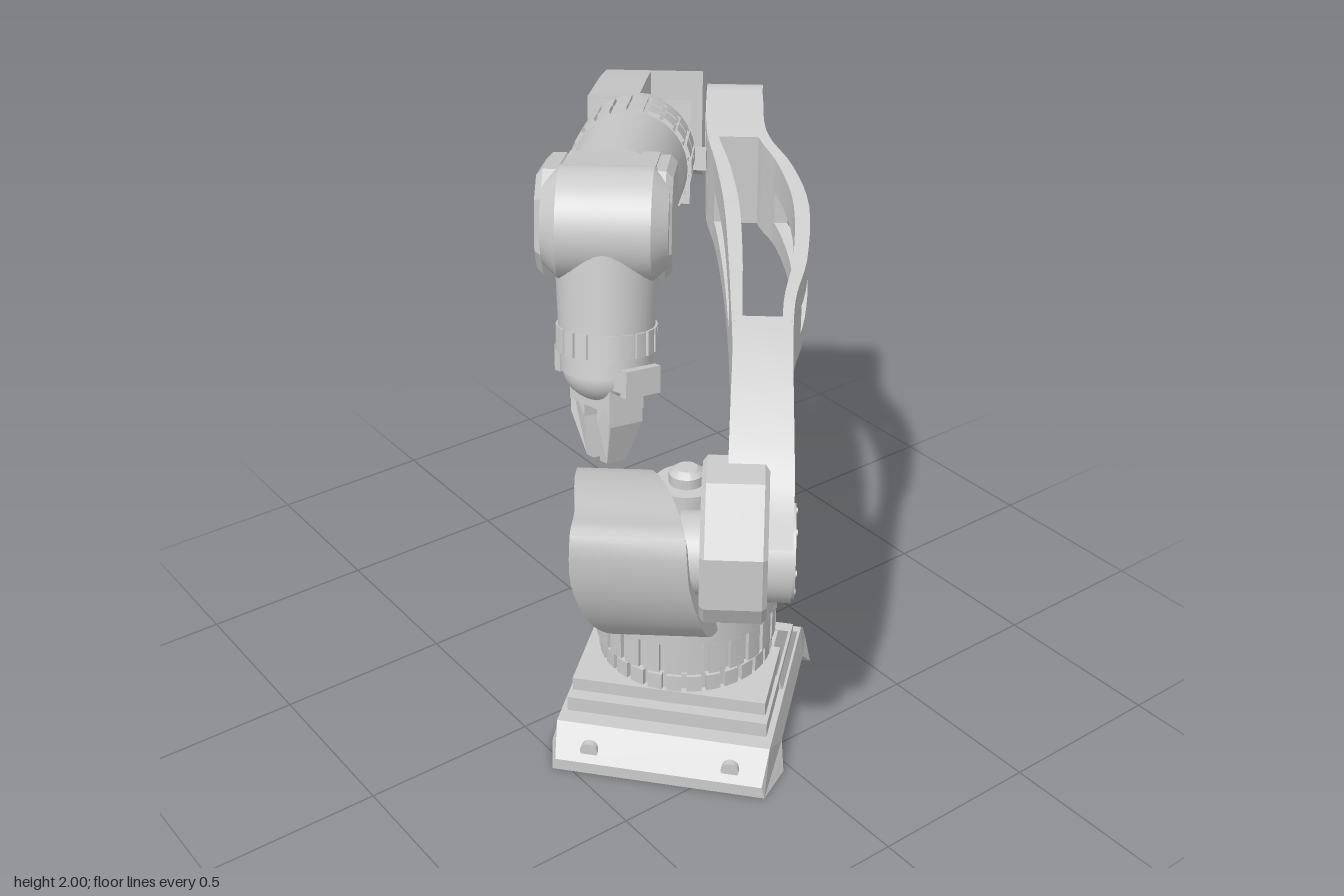
import * as THREE from 'three';
import { toCreasedNormals } from 'three/addons/utils/BufferGeometryUtils.js';

const mat = new THREE.MeshStandardMaterial({ color: 0xcccccc, side: THREE.DoubleSide });
const V = (x, y, z) => new THREE.Vector3(x, y, z);

function add(parent, name, geo, x = 0, y = 0, z = 0) {
  const m = new THREE.Mesh(geo, mat);
  m.name = name;
  m.position.set(x, y, z);
  parent.add(m);
  return m;
}
function sub(parent, name, x = 0, y = 0, z = 0) {
  const g = new THREE.Group();
  g.name = name;
  g.position.set(x, y, z);
  parent.add(g);
  return g;
}
const box = (w, h, d) => new THREE.BoxGeometry(w, h, d);
const cyl = (rTop, rBottom, h) => new THREE.CylinderGeometry(rTop, rBottom, h, 40);
const cylX = (r0, r1, h) => cyl(r1, r0, h).rotateZ(-Math.PI / 2);
const cylZ = (r, h) => cyl(r, r, h).rotateX(Math.PI / 2);

// Side profile extruded from z0 to z1
function slab(points, z0, z1, bevel = 0) {
  const shape = new THREE.Shape(points.map(p => new THREE.Vector2(p[0], p[1])));
  const geo = new THREE.ExtrudeGeometry(shape, {
    depth: z1 - z0 - 2 * bevel, bevelEnabled: bevel > 0,
    bevelSize: bevel, bevelOffset: -bevel, bevelThickness: bevel, bevelSegments: 1,
  });
  return geo.translate(0, 0, z0 + bevel);
}

// Scales the width of a slab by a rule of x and y
function taper(geo, rule) {
  const p = geo.attributes.position;
  for (let i = 0; i < p.count; i++) p.setZ(i, p.getZ(i) * rule(p.getX(i), p.getY(i)));
  geo.computeVertexNormals();
  return geo;
}

// Ring along y with slots cut into its rim
function slottedRing(r, depth, n, h, slot = 0.25) {
  const pts = [];
  for (let i = 0; i < n; i++) {
    for (const [f, rad] of [[0, r - depth], [slot, r - depth], [slot, r], [(1 + slot) / 2, r], [1, r]]) {
      const t = (i + f) / n * Math.PI * 2;
      pts.push(new THREE.Vector2(Math.cos(t) * rad, Math.sin(t) * rad));
    }
  }
  const geo = new THREE.ExtrudeGeometry(new THREE.Shape(pts), { depth: h, bevelEnabled: false });
  return toCreasedNormals(geo.rotateX(-Math.PI / 2), 0.5);
}

// Four-sided loft. Station: [topX, topY, bottomX, bottomY, nearZ, farZ].
// u picks the part along the run, t the part from bottom to top, s from near to far.
function loft(stations, u = [0, stations.length - 1], t = [0, 1], s = [0, 1]) {
  const top = new THREE.CatmullRomCurve3(stations.map(q => V(q[0], q[1], q[4])));
  const bot = new THREE.CatmullRomCurve3(stations.map(q => V(q[2], q[3], q[5])));
  const n = Math.ceil((u[1] - u[0]) * 4), rings = [], pos = [];
  for (let i = 0; i <= n; i++) {
    const k = (u[0] + (u[1] - u[0]) * i / n) / (stations.length - 1);
    const a = top.getPoint(k), b = bot.getPoint(k);
    rings.push([[t[0], s[0]], [t[1], s[0]], [t[1], s[1]], [t[0], s[1]]].map(([p, q]) =>
      V(b.x + (a.x - b.x) * p, b.y + (a.y - b.y) * p, a.z + (b.z - a.z) * q)));
  }
  const quad = (a, b, c, d) => [a, b, c, a, c, d].forEach(p => pos.push(p.x, p.y, p.z));
  for (let i = 0; i < n; i++) {
    const c = rings[i], e = rings[i + 1];
    for (let k = 0; k < 4; k++) quad(c[k], e[k], e[(k + 1) % 4], c[(k + 1) % 4]);
  }
  quad(...rings[0]);
  quad(...rings[n].slice().reverse());
  const geo = new THREE.BufferGeometry();
  geo.setAttribute('position', new THREE.Float32BufferAttribute(pos, 3));
  return toCreasedNormals(geo, 0.6);
}

function buildBase(parent) {
  const base = sub(parent, 'base');
  base.rotation.y = -0.155;
  // Foot with sloping ends, clipped corners and an arch underneath
  add(base, 'foot', taper(slab([[-0.385, 0], [-0.26, 0], [-0.2, 0.06], [0.2, 0.06], [0.26, 0], [0.385, 0],
    [0.385, 0.035], [0.32, 0.12], [-0.26, 0.12], [-0.38, 0.035]], -0.335, 0.335),
  (x, y) => (Math.abs(x) > 0.35 ? 0.9 : 1) * (1 - 0.8 * y)));
  add(base, 'step', box(0.48, 0.05, 0.57), 0.03, 0.14, 0);
  add(base, 'frontPlate', slab([[-0.02, 0.175], [0.22, 0.16], [0.245, 0.175], [0.245, 0.215], [-0.02, 0.215]], -0.275, 0.275));
  add(base, 'rearHousing', taper(slab([[-0.25, 0.11], [0.05, 0.11], [0.05, 0.215], [-0.1, 0.215]], -0.3, 0.3),
    (x, y) => 1 - 1.4 * (y - 0.11)));
  for (const z of [-0.2, 0.2]) add(base, 'frontBolt', cylX(0.025, 0.025, 0.02), 0.36, 0.065, z);
  add(base, 'pedestal', cyl(0.225, 0.25, 0.13), 0, 0.165, 0);
}

function buildTurret(parent) {
  const turret = sub(parent, 'turret');
  add(turret, 'lowerRing', slottedRing(0.25, 0.015, 28, 0.05), 0, 0.22, 0);
  add(turret, 'bearing', cyl(0.23, 0.23, 0.03), 0, 0.275, 0);
  add(turret, 'slottedDrum', slottedRing(0.26, 0.012, 26, 0.095), 0, 0.285, 0);
  add(turret, 'drumTop', cyl(0.26, 0.26, 0.07), 0, 0.415, 0);
  add(turret, 'drumCap', cyl(0.158, 0.16, 0.13), 0, 0.51, 0);
  const profile = [[0.12, 0.57], [0.12, 0.592], [0.09, 0.61], [0.085, 0.66], [0.075, 0.665], [0.075, 0.735],
    [0.09, 0.738], [0.09, 0.755], [0.05, 0.755], [0.05, 0.785], [0.03, 0.8], [0, 0.8]];
  add(turret, 'tower', toCreasedNormals(
    new THREE.LatheGeometry(profile.map(q => new THREE.Vector2(...q)), 32), 0.6));
  // Hoop bracket rising from the drum and carrying the shoulder
  add(turret, 'shoulderBracket', loft([
    [-0.13, 0.41, -0.08, 0.42, 0.3, 0.1],
    [-0.165, 0.51, -0.11, 0.51, 0.31, 0.12],
    [-0.11, 0.67, -0.04, 0.65, 0.31, 0.12],
    [0.02, 0.8, 0.06, 0.765, 0.3, 0.1],
    [0.2, 0.87, 0.22, 0.82, 0.29, 0.05],
    [0.4, 0.895, 0.36, 0.835, 0.27, 0],
    [0.515, 0.9, 0.41, 0.8, 0.27, -0.02],
    [0.525, 0.76, 0.4, 0.74, 0.27, -0.03],
    [0.465, 0.6, 0.35, 0.62, 0.23, -0.06],
    [0.36, 0.49, 0.27, 0.53, 0.18, -0.08],
    [0.23, 0.42, 0.16, 0.45, 0.14, -0.1]]));
  add(turret, 'shoulderShaft', cylZ(0.11, 0.26), 0.36, 0.76, -0.13);
}

function buildLowerArm(parent) {
  const arm = sub(parent, 'lowerArm');
  const st = [
    [-1.0, 1.53, -1.06, 1.278, -0.01, -0.18],
    [-0.78, 1.48, -0.78, 1.205, -0.02, -0.2],
    [-0.65, 1.44, -0.65, 1.175, -0.05, -0.27],
    [-0.47, 1.39, -0.45, 1.125, -0.08, -0.32],
    [-0.25, 1.32, -0.27, 1.07, -0.1, -0.315],
    [-0.1, 1.275, -0.13, 1.025, -0.11, -0.285],
    [0.06, 1.21, 0.02, 0.95, -0.12, -0.28],
    [0.24, 1.1, 0.12, 0.86, -0.12, -0.285],
    [0.38, 0.98, 0.19, 0.8, -0.12, -0.29],
    [0.46, 0.84, 0.23, 0.71, -0.12, -0.29]];
  add(arm, 'elbowEnd', loft(st, [0, 1.1]));
  add(arm, 'shoulderEnd', loft(st, [5.4, 9]));
  // Two curved side plates, each with a long slot
  for (const s of [[0, 0.18], [0.82, 1]]) {
    add(arm, 'sidePlateRear', loft(st, [1, 1.9], [0, 1], s));
    add(arm, 'sidePlateUpper', loft(st, [1.8, 4.5], [0.62, 1], s));
    add(arm, 'sidePlateLower', loft(st, [1.8, 4.5], [0, 0.26], s));
    add(arm, 'sidePlateFront', loft(st, [4.4, 5.5], [0, 1], s));
  }
  add(arm, 'elbowKnuckle', cylZ(0.13, 0.17), -1.035, 1.405, -0.095);
  add(arm, 'shoulderKnuckle', cylZ(0.135, 0.17), 0.34, 0.76, -0.205);
  add(arm, 'shoulderCover', cylZ(0.125, 0.01), 0.34, 0.76, -0.293);
  for (let i = 0; i < 6; i++) {
    const t = i * Math.PI / 3;
    add(arm, 'coverBolt', cylZ(0.008, 0.006), 0.34 + 0.105 * Math.cos(t), 0.76 + 0.105 * Math.sin(t), -0.299);
  }
  add(arm, 'motorHousing', slab([[0.3, 0.62], [0.46, 0.62], [0.515, 0.65], [0.545, 0.71], [0.545, 0.86],
    [0.44, 1.02], [0.3, 1.02]], -0.227, -0.055, 0.012));
}

function buildUpperArm(parent) {
  const arm = sub(parent, 'upperArm');
  const st = [
    [-1.13, 1.5, -1.06, 1.275, 0.285, -0.003],
    [-0.95, 1.61, -0.9, 1.3, 0.285, -0.003],
    [-0.82, 1.65, -0.8, 1.36, 0.285, -0.003],
    [-0.65, 1.69, -0.63, 1.44, 0.285, -0.003],
    [-0.38, 1.745, -0.38, 1.51, 0.285, -0.003],
    [-0.25, 1.78, -0.22, 1.535, 0.28, 0.0]];
  add(arm, 'elbowHousing', loft(st, [0, 1.75]));
  add(arm, 'armBar', loft(st, [1.6, 5], [0, 1], [0, 0.47]));
  add(arm, 'armFlare', loft([
    [-0.33, 1.758, -0.32, 1.522, 0.283, 0.15],
    [-0.2, 1.795, -0.18, 1.542, 0.275, 0.05],
    [-0.1, 1.828, -0.06, 1.56, 0.265, 0.0]]));
  add(arm, 'elbowKnuckle', cylZ(0.135, 0.288), -1.035, 1.408, 0.141);

  // Tilted forearm, running along its own x axis
  const fore = sub(arm, 'forearm', -0.13, 1.69, 0.135);
  fore.rotation.z = 0.2;
  add(fore, 'rearCollar', cylX(0.138, 0.146, 0.12), 0.06, 0, 0);
  for (const x of [0.12, 0.23]) add(fore, 'slottedRing', slottedRing(0.15, 0.008, 22, 0.095).rotateZ(-Math.PI / 2), x, 0, 0);
  add(fore, 'ringCore', cylX(0.138, 0.138, 0.26), 0.21, 0, 0);
  add(fore, 'tube', cylX(0.14, 0.128, 0.45), 0.54, 0, 0);
  add(fore, 'tubePad', box(0.15, 0.08, 0.03), 0.54, 0, 0.13);
  add(fore, 'cableClip', box(0.06, 0.05, 0.05), 0.0, -0.03, -0.15);

  const head = sub(fore, 'wristHead', 0.945, 0, 0.004);
  add(head, 'headBlock', box(0.2, 0.23, 0.2), -0.12, 0, 0);
  add(head, 'headKnuckle', cylZ(0.122, 0.2));
  for (const s of [-1, 1]) {
    add(head, 'knuckleShoulder', new THREE.CylinderGeometry(0.09, 0.122, 0.035, 40).rotateX(s * Math.PI / 2), 0, 0, s * 0.117);
    const cheek = [[-0.22, -0.09], [-0.19, -0.115], [0.01, -0.115], [0.06, -0.06], [0.06, 0.06],
      [0.01, 0.115], [-0.19, 0.115], [-0.22, 0.09]];
    add(head, 'cheekPlate', s > 0 ? slab(cheek, 0.09, 0.15, 0.015) : slab(cheek, -0.14, -0.09, 0.015));
  }
  for (let i = 0; i < 7; i++) add(head, 'grillBar', box(0.09, 0.01, 0.01), -0.08, -0.06 + i * 0.02, 0.149);

  // Wrist hanging from the head
  const wrist = sub(head, 'wrist');
  add(wrist, 'wristBarrel', cyl(0.115, 0.105, 0.22), 0, -0.11, 0);
  add(wrist, 'wristRing', slottedRing(0.11, 0.006, 20, 0.055), 0, -0.275, 0);
  add(wrist, 'wristFlange', cyl(0.1, 0.1, 0.06), 0, -0.29, 0);
  add(wrist, 'wristDome', new THREE.SphereGeometry(0.095, 32, 16).scale(1, 0.75, 1), 0, -0.32, 0);

  // Gripper
  const grip = sub(wrist, 'gripper');
  grip.rotation.y = 0.7;
  add(grip, 'gripperRail', box(0.26, 0.04, 0.08), 0, -0.325, 0);
  add(grip, 'gripperBody', box(0.15, 0.06, 0.09), 0, -0.37, 0);
  for (const s of [-1, 1]) {
    add(grip, 'railEnd', box(0.02, 0.06, 0.09), s * 0.125, -0.32, 0);
    const finger = add(grip, 'finger', taper(slab([[0.012, -0.525], [0.038, -0.525], [0.075, -0.43], [0.075, -0.36],
      [0.02, -0.36], [0.025, -0.43]], -0.042, 0.042), (x, y) => (y < -0.5 ? 0.6 : 1)));
    if (s < 0) finger.rotation.y = Math.PI;
  }
}

export function createModel() {
  const root = new THREE.Group();
  root.name = 'robotArm';
  const robot = sub(root, 'robot', 0.175, 0, 0.05);
  robot.rotation.y = -0.7;
  buildBase(robot);
  buildTurret(robot);
  buildLowerArm(robot);
  buildUpperArm(robot);
  return root;
}
